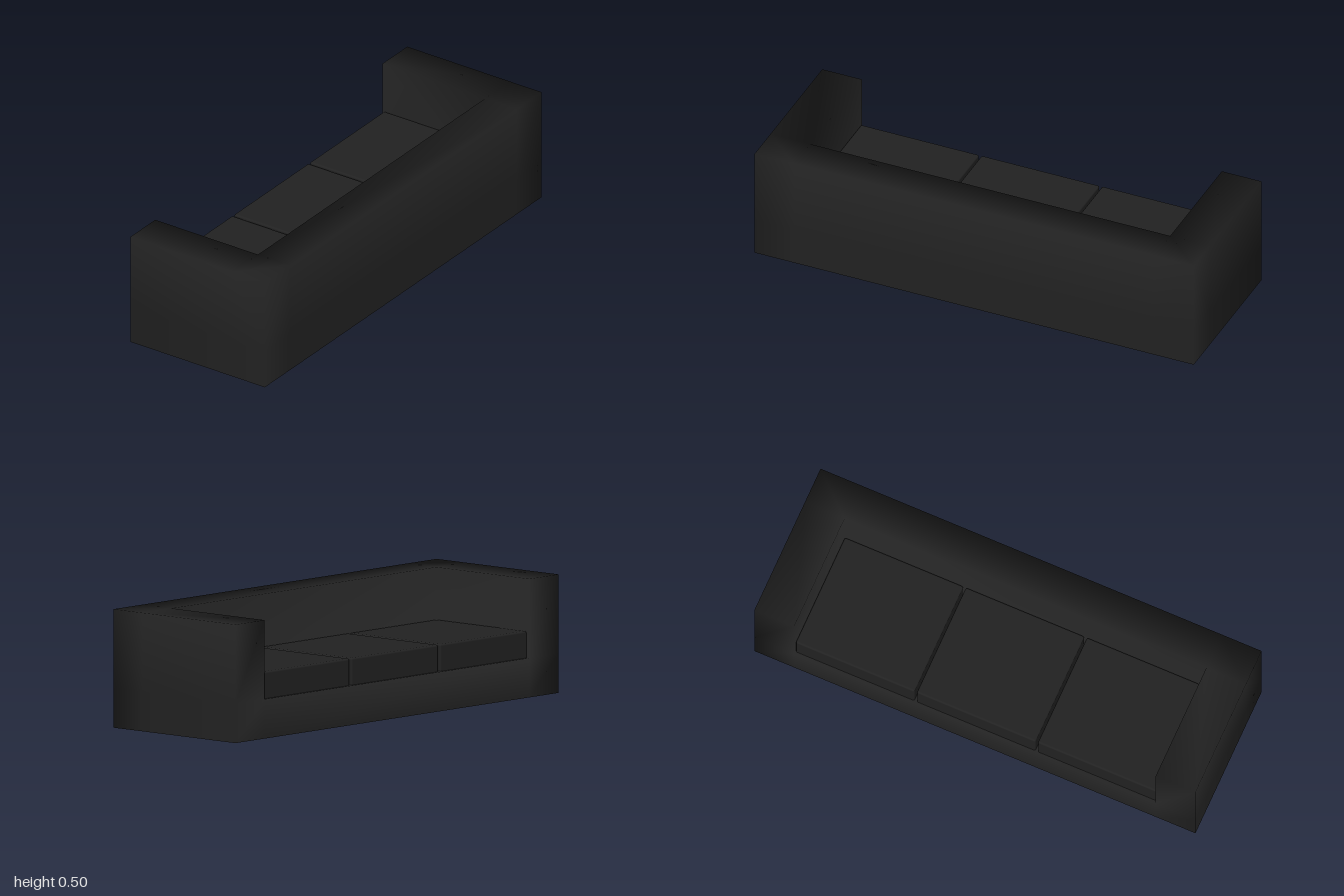
import * as THREE from 'three';
import { RoundedBoxGeometry } from 'three/addons/geometries/RoundedBoxGeometry.js';

// Grid lines of the frame: arms, seat height and backrest
const X = [-1, -0.82, 0.82, 1];
const Y = [0, 0.165, 0.497];
const Z = [-0.341, 0.18, 0.341];

// One shell around the filled grid cells, with shared vertices for soft shading
// and an open underside. The seat opens towards -z.
function frameGeometry() {
  const size = [3, 2, 2];
  const filled = (c) =>
    c.every((v, i) => v >= 0 && v < size[i]) && (c[1] === 0 || c[0] !== 1 || c[2] === 1);
  const positions = [];
  const indices = [];
  const known = new Map();
  const vertex = (c) => {
    const key = c.join();
    if (!known.has(key)) {
      known.set(key, positions.length / 3);
      positions.push(X[c[0]], Y[c[1]], Z[c[2]]);
    }
    return known.get(key);
  };
  for (let i = 0; i < 3; i++) for (let j = 0; j < 2; j++) for (let k = 0; k < 2; k++) {
    const cell = [i, j, k];
    if (!filled(cell)) continue;
    for (let axis = 0; axis < 3; axis++) for (const dir of [0, 1]) {
      const neighbour = cell.slice();
      neighbour[axis] += dir ? 1 : -1;
      const underside = axis === 1 && neighbour[1] < 0;
      if (filled(neighbour) || underside) continue;
      const u = (axis + 1) % 3, v = (axis + 2) % 3;
      const quad = [[0, 0], [1, 0], [1, 1], [0, 1]].map(([a, b]) => {
        const c = cell.slice();
        c[axis] += dir;
        c[u] += a;
        c[v] += b;
        return vertex(c);
      });
      if (!dir) quad.reverse();
      indices.push(quad[0], quad[1], quad[2], quad[0], quad[2], quad[3]);
    }
  }
  const geometry = new THREE.BufferGeometry();
  geometry.setAttribute('position', new THREE.Float32BufferAttribute(positions, 3));
  geometry.setIndex(indices);
  geometry.computeVertexNormals();
  return geometry;
}

export function createModel() {
  const sofa = new THREE.Group();
  sofa.name = 'sofa';
  const leather = new THREE.MeshStandardMaterial({ color: 0x222222, side: THREE.DoubleSide });
  leather.name = 'black leather';

  // Arms, backrest and base
  const frame = new THREE.Mesh(frameGeometry(), leather);
  frame.name = 'frame';
  sofa.add(frame);

  // Three seat cushions, sunk slightly into the base
  const cushionGeometry = new RoundedBoxGeometry(0.538, 0.12, 0.508, 2, 0.008);
  for (const [i, name] of ['rightCushion', 'middleCushion', 'leftCushion'].entries()) {
    const cushion = new THREE.Mesh(cushionGeometry, leather);
    cushion.name = name;
    cushion.position.set((i - 1) * 0.549, 0.218, -0.076);
    sofa.add(cushion);
  }
  return sofa;
}
